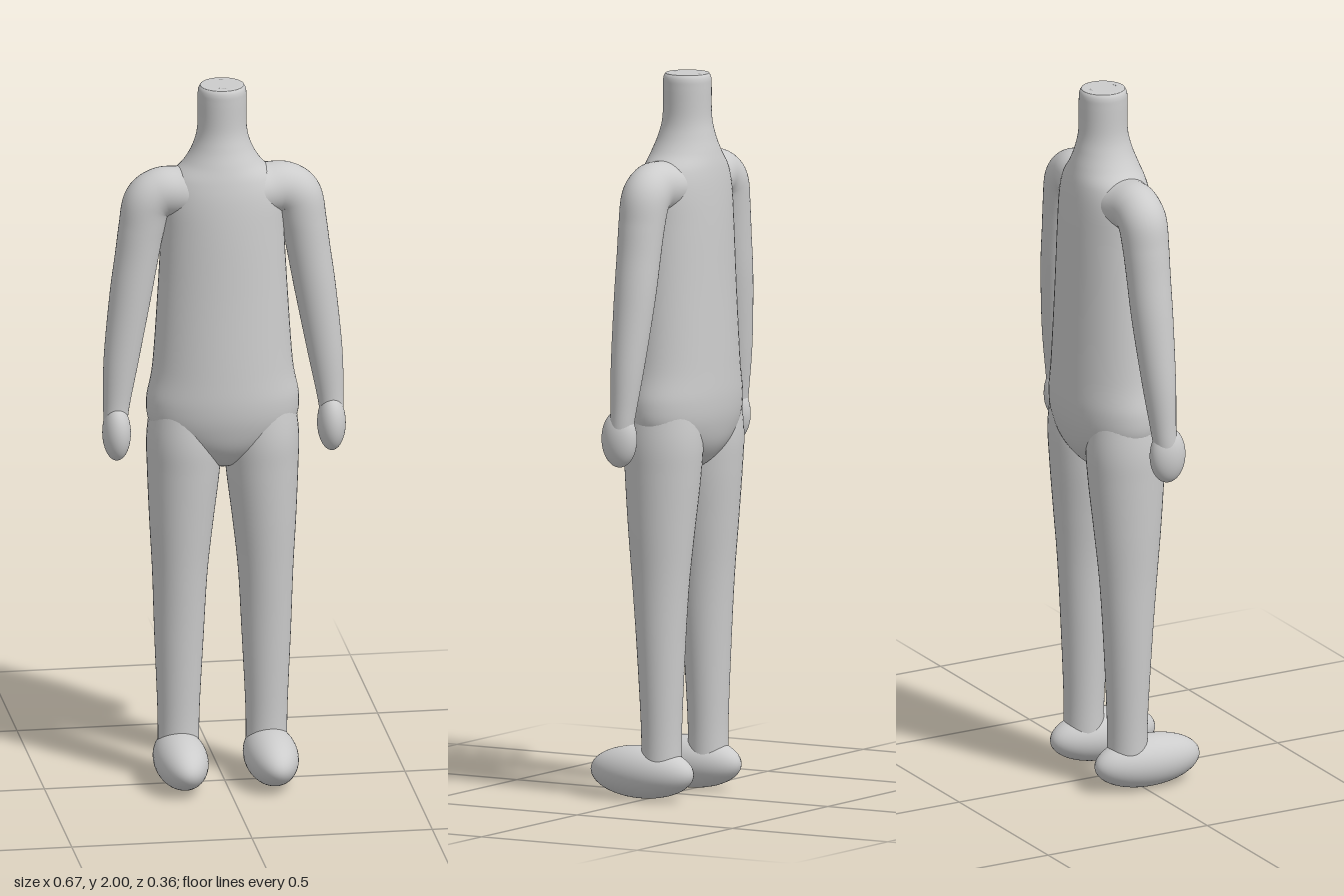
import * as THREE from 'three';

const skin = new THREE.MeshStandardMaterial({ color: 0xcccccc });
skin.name = 'plainGrey';

// Sweeps an elliptical ring through sections [x, y, z, radius across, radius in z]
function sweep(name, sections, side = 1, steps = 64, sides = 40) {
  const centre = new THREE.CatmullRomCurve3(
    sections.map(([x, y, z]) => new THREE.Vector3(x * side, y, z)), false, 'catmullrom', 0.5);
  const radii = new THREE.CatmullRomCurve3(
    sections.map((s) => new THREE.Vector3(s[3], s[4], 0)), false, 'catmullrom', 0.5);
  const positions = [];
  const index = [];
  for (let i = 0; i <= steps; i++) {
    const t = i / steps;
    const c = centre.getPoint(t);
    const r = radii.getPoint(t);
    const rx = Math.max(r.x, 0.0005);
    const rz = Math.max(r.y, 0.0005);
    const d = centre.getTangent(t).setZ(0).normalize();
    for (let j = 0; j < sides; j++) {
      const a = (j / sides) * Math.PI * 2;
      const u = rx * Math.cos(a);
      positions.push(c.x + d.y * u, c.y - d.x * u, c.z + rz * Math.sin(a));
      if (i < steps) {
        const k = (j + 1) % sides;
        const p = i * sides;
        const q = p + sides;
        index.push(p + j, q + j, p + k, p + k, q + j, q + k);
      }
    }
  }
  const geometry = new THREE.BufferGeometry();
  geometry.setAttribute('position', new THREE.Float32BufferAttribute(positions, 3));
  geometry.setIndex(index);
  geometry.computeVertexNormals();
  const mesh = new THREE.Mesh(geometry, skin);
  mesh.name = name;
  return mesh;
}

function ellipsoid(name, x, y, z, rx, ry, rz) {
  const geometry = new THREE.SphereGeometry(1, 40, 28).scale(rx, ry, rz).translate(x, y, z);
  const mesh = new THREE.Mesh(geometry, skin);
  mesh.name = name;
  return mesh;
}

export function createModel() {
  const group = new THREE.Group();
  group.name = 'body';

  // Torso from crotch to shoulders, running into the neck
  group.add(sweep('torso', [
    [0, 0.895, -0.04, 0, 0],
    [0, 0.92, -0.04, 0.06, 0.06],
    [0, 0.97, -0.04, 0.145, 0.105],
    [0, 1.03, -0.039, 0.2, 0.128],
    [0, 1.1, -0.038, 0.211, 0.138],
    [0, 1.2, -0.038, 0.194, 0.136],
    [0, 1.4, -0.039, 0.18, 0.127],
    [0, 1.58, -0.04, 0.17, 0.12],
    [0, 1.68, -0.041, 0.165, 0.113],
    [0, 1.74, -0.043, 0.145, 0.104],
    [0, 1.785, -0.045, 0.105, 0.092],
    [0, 1.83, -0.047, 0.08, 0.078],
    [0, 1.88, -0.048, 0.068, 0.068],
    [0, 1.96, -0.048, 0.067, 0.067],
    [0, 1.985, -0.048, 0.066, 0.066],
    [0, 1.997, -0.048, 0.061, 0.061],
    [0, 2, -0.048, 0.053, 0.053],
    [0, 2, -0.048, 0, 0],
  ], 1, 136, 56));

  for (const side of [1, -1]) {
    const label = side > 0 ? 'left' : 'right';

    // Arm bends over the shoulder and tapers to the wrist
    group.add(sweep(label + 'Arm', [
      [0.05, 1.69, -0.04, 0.085, 0.095],
      [0.12, 1.698, -0.04, 0.071, 0.078],
      [0.17, 1.697, -0.04, 0.071, 0.068],
      [0.207, 1.67, -0.04, 0.069, 0.067],
      [0.225, 1.6, -0.039, 0.063, 0.064],
      [0.238, 1.52, -0.038, 0.06, 0.061],
      [0.257, 1.4, -0.036, 0.057, 0.057],
      [0.283, 1.22, -0.03, 0.048, 0.046],
      [0.297, 1.09, -0.024, 0.036, 0.035],
      [0.3, 1.03, -0.018, 0.032, 0.033],
    ], side, 80));
    group.add(ellipsoid(label + 'Hand', 0.298 * side, 1.018, -0.012, 0.039, 0.079, 0.052));

    // Leg tapers from hip to ankle, with a slight knee
    group.add(sweep(label + 'Leg', [
      [0.105, 1.12, -0.038, 0.09, 0.1],
      [0.107, 1.0, -0.037, 0.103, 0.112],
      [0.109, 0.9, -0.037, 0.1, 0.107],
      [0.115, 0.75, -0.036, 0.088, 0.094],
      [0.119, 0.6, -0.036, 0.076, 0.08],
      [0.121, 0.42, -0.038, 0.068, 0.067],
      [0.122, 0.2, -0.04, 0.058, 0.056],
      [0.122, 0.08, -0.04, 0.057, 0.056],
    ], side));
    group.add(ellipsoid(label + 'Foot', 0.125 * side, 0.073, 0.02, 0.074, 0.073, 0.16));
  }
  return group;
}
